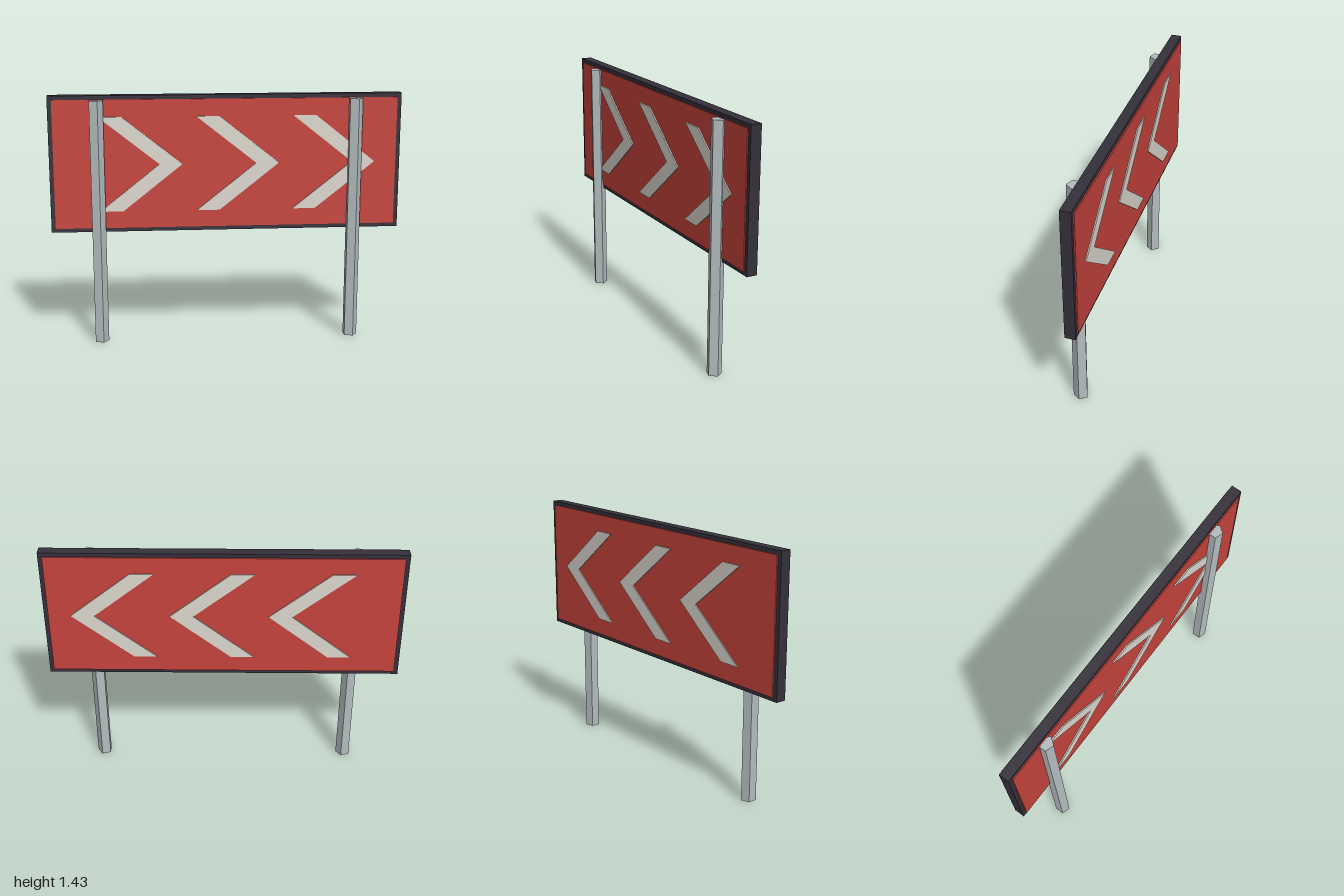
import * as THREE from 'three';

const mat = (color) => new THREE.MeshStandardMaterial({ color, flatShading: true });

export function createModel() {
  const group = new THREE.Group();
  const red = mat(0xc8443d), dark = mat(0x35303b), white = mat(0xdedad1), metal = mat(0xb4bcbf);

  const add = (name, geometry, material, x, y, z) => {
    const mesh = new THREE.Mesh(geometry, material);
    mesh.name = name;
    mesh.position.set(x, y, z);
    group.add(mesh);
  };

  // Dark board with a red face standing slightly proud on both sides
  const boardY = 1.04;
  add('boardFrame', new THREE.BoxGeometry(2, 0.78, 0.06), dark, 0, boardY, -0.023);
  add('redPanel', new THREE.BoxGeometry(1.952, 0.735, 0.073), red, 0, boardY, -0.0235);

  // Chevrons pass through the board and show on both faces, pointing to +x
  const chevron = new THREE.Shape([
    [-0.235, 0.27], [-0.105, 0.27], [0.235, 0], [-0.105, -0.27], [-0.235, -0.27], [0.105, 0],
  ].map(([x, y]) => new THREE.Vector2(x, y)));
  const chevronGeometry = new THREE.ExtrudeGeometry(chevron, { depth: 0.086, bevelEnabled: false });
  for (const i of [-1, 0, 1]) {
    add('chevron', chevronGeometry, white, 0.065 + i * 0.55, boardY, -0.066);
  }

  // Five-sided posts with one corner towards +x
  const postGeometry = new THREE.CylinderGeometry(0.0425, 0.0425, 1.405, 5, 1, false, Math.PI / 2);
  for (const side of [-1, 1]) {
    add(side < 0 ? 'rightPost' : 'leftPost', postGeometry, metal, side * 0.7325, 0.7025, 0.0255);
  }

  return group;
}
